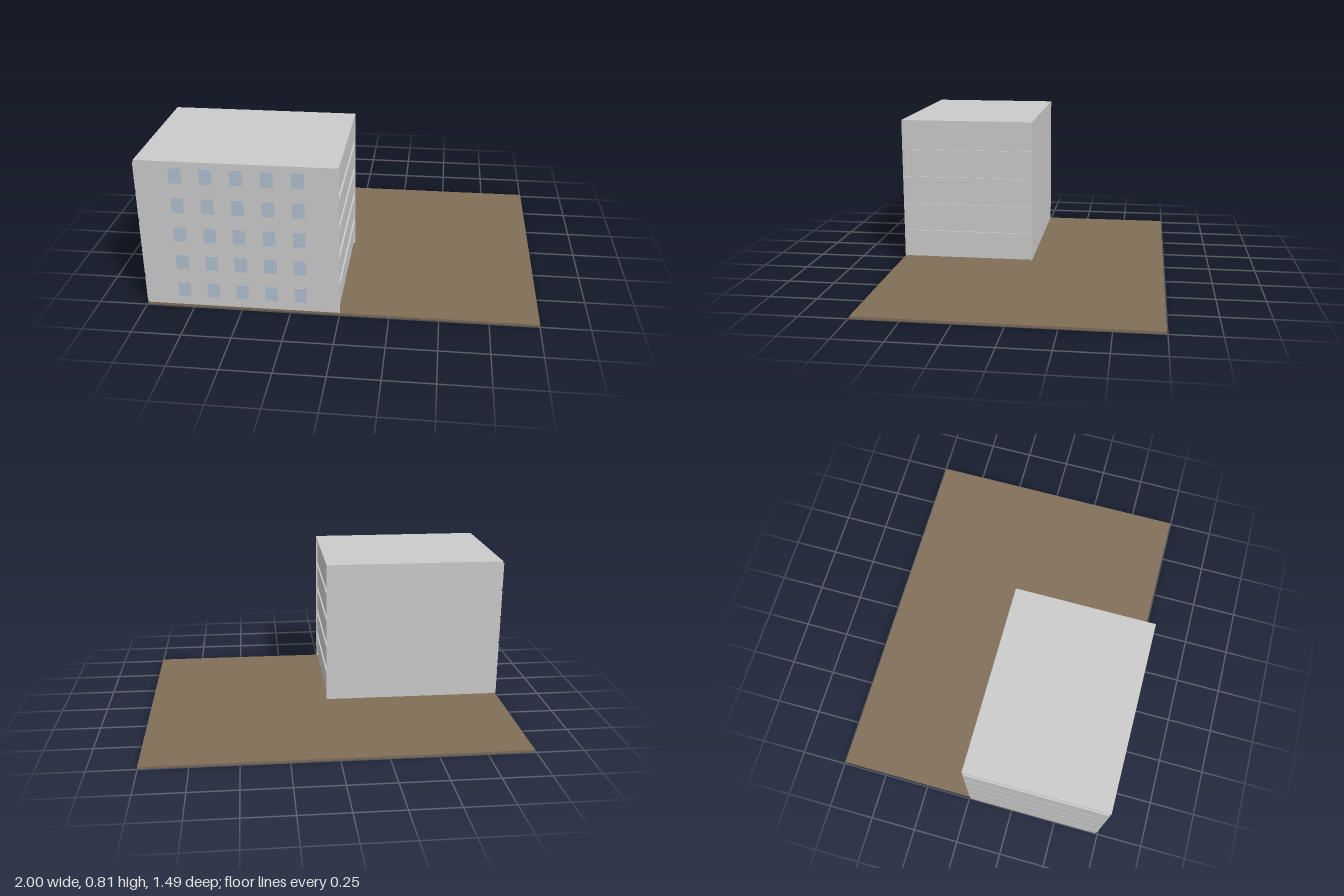
import * as THREE from 'three';

export function createModel() {
  const model = new THREE.Group();
  const concrete = new THREE.MeshStandardMaterial({ color: 0xcacaca });
  concrete.name = 'concrete';
  const earth = new THREE.MeshStandardMaterial({ color: 0x806e57 });
  earth.name = 'earth';
  const glass = new THREE.MeshStandardMaterial({ color: 0xafbdcc });
  glass.name = 'paleGlass';

  // Box given by its minimum and maximum corners
  function block(name, material, [x0, y0, z0], [x1, y1, z1], parent = model) {
    const mesh = new THREE.Mesh(new THREE.BoxGeometry(x1 - x0, y1 - y0, z1 - z0), material);
    mesh.position.set((x0 + x1) / 2, (y0 + y1) / 2, (z0 + z1) / 2);
    mesh.name = name;
    parent.add(mesh);
  }

  const left = -0.992, right = 0.002, back = 0, front = 0.745;
  const base = 0.0125, roof = 0.81, wall = 0.009, storey = 0.1585, floors = 5;

  // Plot of land
  block('ground', earth, [left, 0, -0.746], [1, base, 0.746]);

  // Long walls and roof
  const building = new THREE.Group();
  building.name = 'building';
  model.add(building);
  block('frontWall', concrete, [left, base, front - wall], [right, roof, front], building);
  block('backWall', concrete, [left, base, back], [right, roof, back + wall], building);
  block('roofSlab', concrete, [left, 0.793, back + wall], [right, roof, front - wall], building);

  for (let i = 0; i < floors; i++) {
    const top = 0.159 + i * storey;
    const bottom = i === 0 ? base : top - storey + wall;

    // End panels: set back on the right, standing proud on the left
    block('rightPanel', concrete, [right - 2 * wall, bottom, back + wall], [right - wall, top, front - wall], building);
    block('leftPanel', concrete, [-1, bottom, back + wall], [left + 0.002, top, front - wall], building);

    // Floor slab between storeys
    if (i < floors - 1) {
      block('floorSlab', concrete, [left, top, back + wall], [right, top + wall, front - wall], building);
    }

    // Row of windows
    for (let j = 0; j < 5; j++) {
      const x = -0.793 + j * 0.1493, y = 0.102 + i * storey;
      block('window', glass, [x - 0.031, y - 0.04, front - 0.002], [x + 0.031, y + 0.04, front + 0.002], building);
    }
  }
  return model;
}
